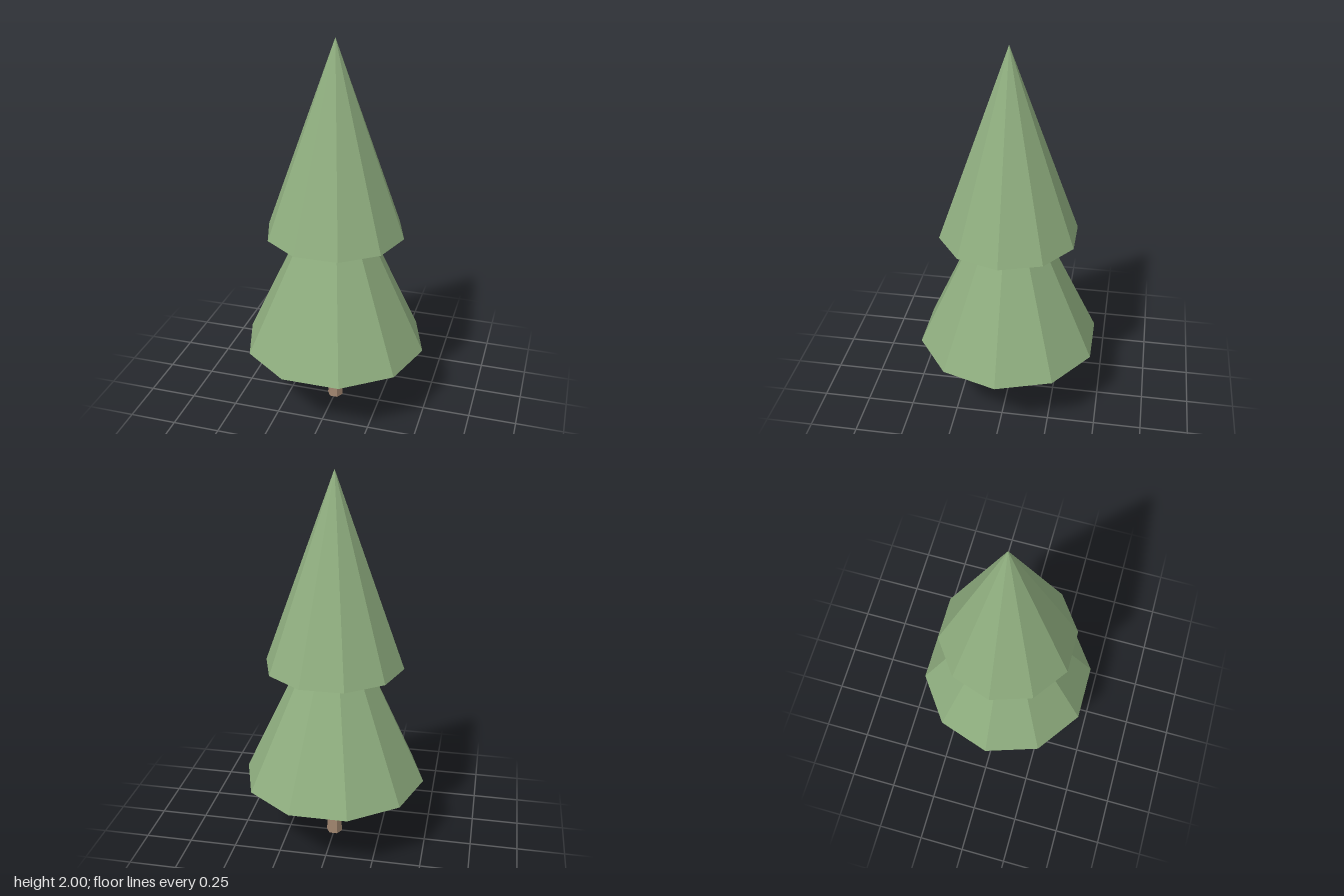
import * as THREE from 'three';

export function createModel() {
  const tree = new THREE.Group();
  tree.name = 'pineTree';

  const needles = new THREE.MeshStandardMaterial({ color: 0x8fae7f });
  needles.name = 'needleGreen';
  needles.flatShading = true;
  const bark = new THREE.MeshStandardMaterial({ color: 0xa18670 });
  bark.name = 'barkBrown';
  bark.flatShading = true;

  // Faceted tapered part with two corners on the x axis
  function addPart(name, sides, topRadius, baseRadius, baseY, topY, material) {
    const height = topY - baseY;
    const geometry = new THREE.CylinderGeometry(topRadius, baseRadius, height, sides, 1, false, Math.PI / 2);
    geometry.translate(0, baseY + height / 2, 0);
    const mesh = new THREE.Mesh(geometry, material);
    mesh.name = name;
    tree.add(mesh);
  }

  addPart('trunk', 6, 0.028, 0.042, 0, 0.42, bark);
  addPart('lowerFoliage', 10, 0, 0.48, 0.365, 1.395, needles);
  addPart('upperFoliage', 10, 0, 0.36, 1.005, 2, needles);

  return tree;
}
